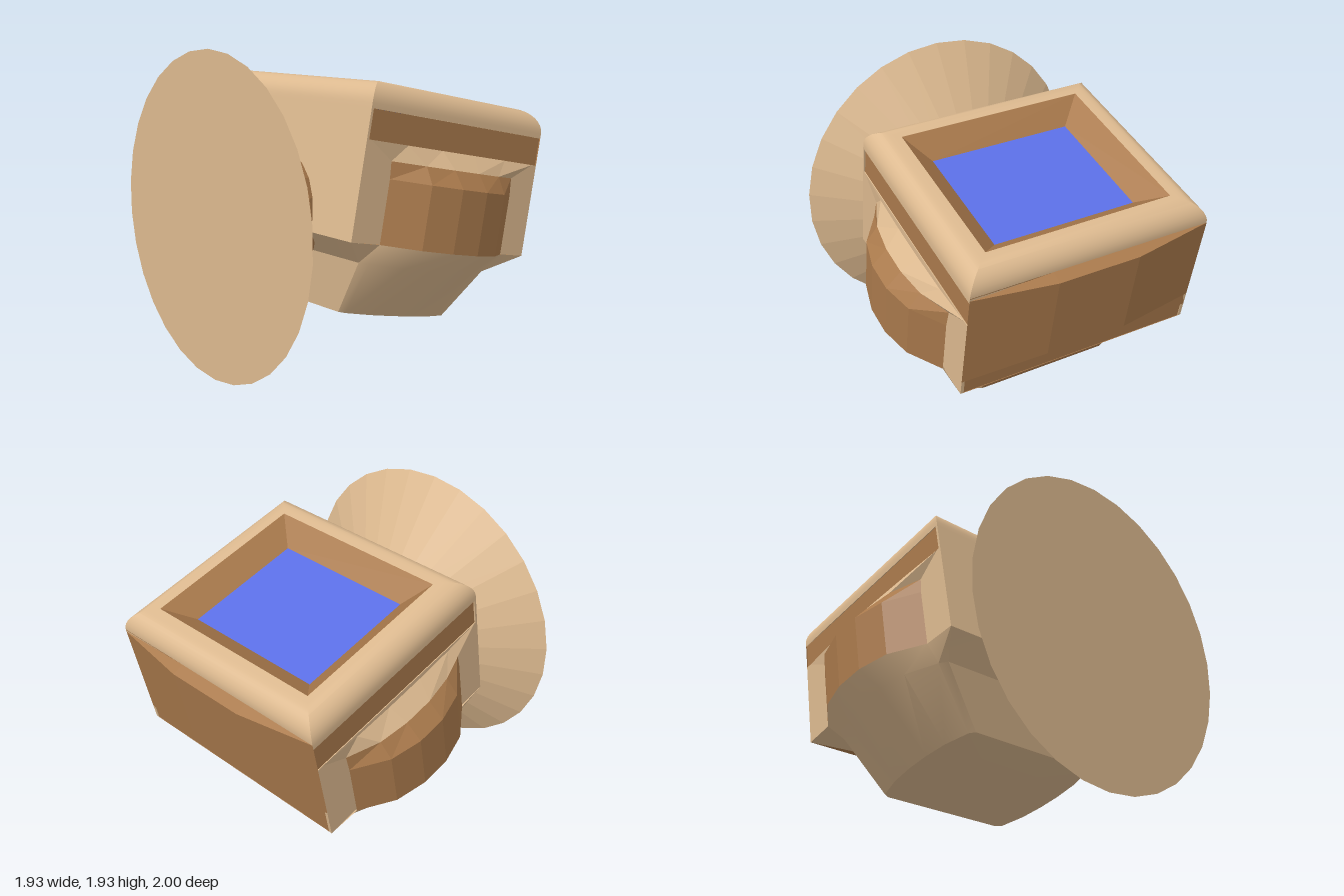
import * as THREE from 'three';
import { toCreasedNormals } from 'three/addons/utils/BufferGeometryUtils.js';

const mat = (color, flatShading = false) =>
  new THREE.MeshStandardMaterial({ color, flatShading, side: THREE.DoubleSide });
const tan = mat(0xdcb98f), tanFlat = mat(0xdcb98f, true);
const brown = mat(0xaa7a4c, true), blue = mat(0x5b6fe6, true);

// Body extents in its own tilted frame
const W = 0.767, BACK = -0.838, FRONT = 0.56, MID = (BACK + FRONT) / 2;
const TOP = 0.69, BAND_TOP = 0.53, BAND_LOW = 0.36, FLOOR = -0.21;

function add(parent, name, geometry, material) {
  const mesh = new THREE.Mesh(geometry, material);
  mesh.name = name;
  parent.add(mesh);
  return mesh;
}

function box(parent, name, material, x0, x1, y0, y1, z0, z1) {
  const mesh = add(parent, name, new THREE.BoxGeometry(x1 - x0, y1 - y0, z1 - z0), material);
  mesh.position.set((x0 + x1) / 2, (y0 + y1) / 2, (z0 + z1) / 2);
}

// Skin between rows of [x, y, z] points, sharp where the angle exceeds crease
function skin(rows, closed = false, crease = 0.5) {
  const n = rows[0].length, pos = [], index = [];
  rows.forEach(row => row.forEach(p => pos.push(...p)));
  for (let r = 0; r < rows.length - 1; r++) {
    for (let i = 0; i < (closed ? n : n - 1); i++) {
      const a = r * n + i, b = r * n + (i + 1) % n;
      index.push(a, a + n, b, b, a + n, b + n);
    }
  }
  const g = new THREE.BufferGeometry();
  g.setAttribute('position', new THREE.Float32BufferAttribute(pos, 3));
  g.setIndex(index);
  return toCreasedNormals(g, crease);
}

// Rectangle inset from the body outline; counter-clockwise seen from above
function rect(inset, y) {
  const x = W - inset, z = (FRONT - BACK) / 2 - inset;
  return [[-x, y, MID + z], [x, y, MID + z], [x, y, MID - z], [-x, y, MID - z]];
}

// Bowed line along z, from the back to the front of one side
function bow(y, xEnd, xMid, z0, z1) {
  const pts = [];
  for (let i = 0; i <= 5; i++) {
    const t = -1 + i * 0.4;
    const k = Math.pow(Math.max(0, 1 - t * t), 0.75);
    pts.push([xEnd + (xMid - xEnd) * k, y, z0 + (z1 - z0) * i / 5]);
  }
  return pts;
}

const mirror = pts => pts.map(([x, y, z]) => [-x, y, z]);

// Full outline of the lower hull at one height
function hullRing(y, xc, xm, xBack, zb, zf, z0, z1, xFront) {
  const side = [[xBack, y, zb], ...bow(y, xc, xm, z0, z1), [xFront, y, zf]];
  return [...mirror(side), ...side.reverse()];
}

function buildBody() {
  const body = new THREE.Group();
  body.name = 'tiltedBody';

  // Core, front plate and side plates
  box(body, 'core', brown, -W + 0.005, W - 0.005, FLOOR, BAND_TOP, BACK + 0.004, FRONT - 0.02);
  box(body, 'frontPlate', tanFlat, -W, W, FLOOR, BAND_TOP, FRONT - 0.015, FRONT);
  for (const s of [-1, 1]) {
    const x = s * (W - 0.01);
    box(body, 'sidePlate', tanFlat, x - 0.01, x + 0.01, FLOOR, BAND_LOW, BACK, FRONT - 0.001);
  }

  // Rounded top frame with mitred corners
  const R = 0.13, rows = [rect(0, BAND_TOP)];
  for (let i = 0; i <= 8; i++) {
    const a = i / 8 * Math.PI / 2;
    rows.push(rect(R * (1 - Math.cos(a)), TOP - R + R * Math.sin(a)));
  }
  rows.push(rect(0.17, TOP));
  add(body, 'topFrame', skin(rows.reverse(), true), tan);

  // Sloping recess and screen
  add(body, 'screenBezel', skin([rect(0.31, 0.57), rect(0.17, TOP)], true), brown);
  add(body, 'screen', skin([
    [rect(0.31, 0.57)[3], rect(0.31, 0.57)[2]],
    [rect(0.31, 0.57)[0], rect(0.31, 0.57)[1]],
  ]), blue);

  // Bulging side pods, with a light shoulder above each
  for (const flip of [false, true]) {
    const m = pts => flip ? mirror(pts) : pts.slice().reverse();
    const shoulder = [bow(BAND_LOW, W, W + 0.02, -0.8, 0.53), bow(0.26, W, 0.88, -0.63, 0.36)];
    const pod = [shoulder[1], bow(0.16, W + 0.01, 0.97, -0.63, 0.36),
      bow(FLOOR, W + 0.01, 0.97, -0.63, 0.36)];
    add(body, 'podShoulder', skin(shoulder.map(m)), tanFlat);
    add(body, 'sidePod', skin(pod.map(m)), brown);
  }

  // Faceted back panel
  const backRow = (y, z) => [[-W, y, BACK], [-0.26, y, z], [0.26, y, z], [W, y, BACK]].reverse();
  add(body, 'backPanel', skin([backRow(0.565, BACK), backRow(0.547, -0.911),
    backRow(-0.02, -0.911), backRow(-0.11, BACK)]), brown);

  // Tapering lower hull with a slightly domed underside
  const rings = [
    hullRing(FLOOR, W + 0.01, 0.97, W, BACK, FRONT, -0.63, 0.36, W),
    hullRing(-0.33, 0.72, 0.86, 0.5, -0.63, 0.41, -0.55, 0.37, 0.68),
    hullRing(-0.66, 0.47, 0.53, 0.43, -0.54, 0.3, -0.52, 0.27, 0.44),
  ];
  add(body, 'lowerHull', skin(rings.map(r => r.slice())), tan);
  const centre = rings[2].map(() => [0, -0.685, -0.12]);
  add(body, 'underside', skin([rings[2], centre], true), tan);

  // Brown panel closing the back of the lower hull
  const lowBack = rings.map(r => [r[r.length - 1], r[0]]);
  add(body, 'lowerBackPanel', skin(lowBack), brown);

  body.position.y = 1;
  body.rotation.x = -0.195;
  return body;
}

export function createModel() {
  const model = new THREE.Group();

  // Flared mounting disc
  const disc = add(model, 'mountingDisc', new THREE.CylinderGeometry(0.967, 0.425, 0.36, 30), tanFlat);
  disc.rotation.x = Math.PI / 2;
  disc.position.set(0, 0.97, 0.82);

  // Rounded neck joint between disc and body
  const profile = [[0.39, 0], [0.4, 0.07], [0.38, 0.13], [0.32, 0.2], [0.18, 0.27], [0, 0.29]]
    .map(([r, h]) => new THREE.Vector2(r, h));
  const neck = add(model, 'neckJoint', new THREE.LatheGeometry(profile, 20), brown);
  neck.rotation.x = -Math.PI / 2;
  neck.position.set(0, 0.97, 0.65);

  model.add(buildBody());
  return model;
}
